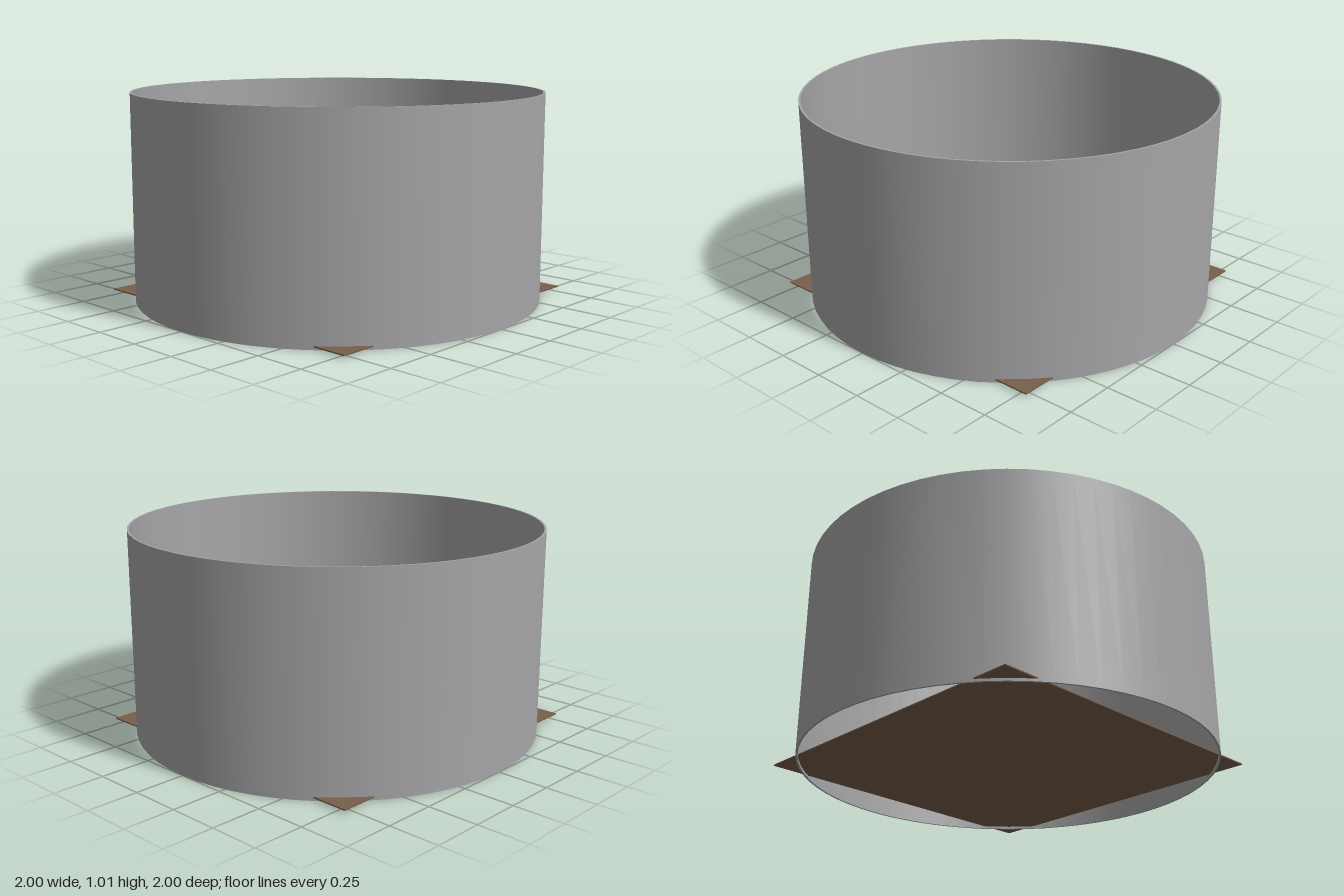
import * as THREE from 'three';

const mat = (name, color, side = THREE.FrontSide) => {
  const m = new THREE.MeshStandardMaterial({ color, side });
  m.name = name;
  return m;
};

export function createModel() {
  const root = new THREE.Group();
  root.name = 'drumKitRoom';
  const wallGrey = mat('wall grey', 0xa6a6a8);
  const wood = mat('wood brown', 0x785f4a);
  const rugGrey = mat('rug grey', 0xa4a4a4);
  const black = mat('dark metal', 0x2c2926);
  const bronze = mat('bronze', 0x7d6148);
  const skin = mat('drum skin', 0xb8b8b8);
  const steel = mat('steel', 0x8c8c8c);
  const G = 0.021; // top of the rug

  const add = (parent, name, geo, material, x = 0, y = 0, z = 0) => {
    const m = new THREE.Mesh(geo, material);
    m.name = name;
    m.position.set(x, y, z);
    parent.add(m);
    return m;
  };
  const group = (name) => {
    const g = new THREE.Group();
    g.name = name;
    root.add(g);
    return g;
  };
  // Round bar between two points
  const bar = (parent, name, a, b, r = 0.003, material = black) => {
    const A = new THREE.Vector3(...a), B = new THREE.Vector3(...b);
    const d = B.clone().sub(A);
    const m = add(parent, name, new THREE.CylinderGeometry(r, r, d.length(), 8), material);
    m.position.copy(A).add(B).multiplyScalar(0.5);
    m.quaternion.setFromUnitVectors(new THREE.Vector3(0, 1, 0), d.normalize());
    return m;
  };
  const tripod = (parent, x, z, reach, top, turn = 0) => {
    for (let i = 0; i < 3; i++) {
      const a = turn + i * Math.PI * 2 / 3;
      bar(parent, 'standLeg', [x, top, z], [x + Math.sin(a) * reach, G + 0.003, z + Math.cos(a) * reach], 0.0025);
    }
  };

  // Round wall: outer face, top rim, inner face, bottom rim
  const wall = group('roundWall');
  const ring = [[1, 0], [1, 1.01], [0.99, 1.01], [0.99, 0]];
  ring.forEach((p, i) => {
    const pts = [p, ring[(i + 1) % 4]].map(([x, y]) => new THREE.Vector2(x, y));
    add(wall, 'wallFace', new THREE.LatheGeometry(pts, 64), wallGrey);
  });

  // Floor and rug
  add(root, 'floor', new THREE.BoxGeometry(1.58, 0.006, 1.58), wood, 0, 0.015, -0.003);
  add(root, 'rug', new THREE.BoxGeometry(0.46, 0.003, 0.42), rugGrey, 0, G - 0.0015, 0.04);

  // Bass drum, lying along z, with a skin at each end and a pedal
  const bass = group('bassDrum');
  const shell = add(bass, 'bassShell', new THREE.CylinderGeometry(0.034, 0.034, 0.05, 32), black, 0, G + 0.036, -0.02);
  shell.rotation.x = Math.PI / 2;
  for (const s of [-1, 1]) {
    const head = add(bass, 'bassSkin', new THREE.CylinderGeometry(0.03, 0.03, 0.002, 32), skin, 0, G + 0.036, -0.02 + s * 0.026);
    head.rotation.x = Math.PI / 2;
    bar(bass, 'bassSpur', [s * 0.03, G + 0.03, -0.03], [s * 0.045, G + 0.002, -0.04]);
  }
  add(bass, 'bassPedal', new THREE.BoxGeometry(0.014, 0.004, 0.06), steel, 0, G + 0.006, 0.05);
  bar(bass, 'beater', [0, G + 0.008, 0.022], [0, G + 0.05, 0.012], 0.002, steel);

  // Upright drums: x, z, radius, bottom, height
  const drums = group('drums');
  for (const [name, x, z, r, y, h] of [
    ['leftTom', 0.032, -0.02, 0.02, 0.095, 0.026],
    ['rightTom', -0.032, -0.02, 0.02, 0.095, 0.026],
    ['snare', -0.065, 0.062, 0.027, 0.095, 0.018],
    ['floorTom', 0.09, 0.07, 0.024, 0.05, 0.055],
  ]) {
    add(drums, name, new THREE.CylinderGeometry(r, r, h, 28), black, x, y + h / 2, z);
    add(drums, name + 'Skin', new THREE.CylinderGeometry(r * 0.9, r * 0.9, 0.002, 28), skin, x, y + h + 0.0005, z);
    for (const t of [0, h]) {
      const hoop = add(drums, name + 'Hoop', new THREE.TorusGeometry(r, 0.0016, 6, 28), steel, x, y + t, z);
      hoop.rotation.x = Math.PI / 2;
    }
  }
  tripod(drums, -0.065, 0.062, 0.025, 0.095);
  for (let i = 0; i < 3; i++) {
    const a = i * Math.PI * 2 / 3;
    const x = 0.09 + Math.sin(a) * 0.025, z = 0.07 + Math.cos(a) * 0.025;
    bar(drums, 'floorTomLeg', [x, G, z], [x, 0.085, z], 0.002, steel);
  }
  add(drums, 'hiHatPedal', new THREE.BoxGeometry(0.014, 0.004, 0.05), steel, -0.083, G + 0.006, 0.105);

  // Rack of bars curving round the kit
  const rack = group('rack');
  const posts = [[-0.138, 0.08], [-0.075, -0.022], [0.075, -0.022], [0.138, 0.08]];
  posts.forEach(([x, z], i) => {
    bar(rack, 'rackPost', [x, G, z], [x, 0.125, z], 0.004);
    const foot = add(rack, 'rackFoot', new THREE.BoxGeometry(0.01, 0.006, 0.035), black, x, G + 0.003, z);
    foot.rotation.y = Math.sign(x) * 0.5;
    if (i < 3) bar(rack, 'rackRail', [x, 0.115, z], [posts[i + 1][0], 0.115, posts[i + 1][1]], 0.004);
  });
  for (const s of [-1, 1]) bar(rack, 'tomArm', [s * 0.015, 0.115, -0.022], [s * 0.03, 0.108, -0.02], 0.003, steel);

  // Cymbals: x, z, radius, height, and the rack point that carries them
  const cymbals = group('cymbals');
  for (const [x, z, r, y, px, pz] of [
    [-0.008, -0.062, 0.031, 0.19, -0.008, -0.022],
    [0.057, -0.062, 0.026, 0.18, 0.057, -0.022],
    [0.107, -0.015, 0.032, 0.17, 0.09, 0.002],
    [-0.115, -0.01, 0.026, 0.175, -0.09, 0.002],
  ]) {
    const profile = [[r, 0], [r * 0.3, 0.003], [r * 0.22, 0.006], [0, 0.008]].map(([a, b]) => new THREE.Vector2(a, b));
    for (const [name, pts] of [['cymbal', profile], ['cymbalUnderside', profile.slice().reverse()]]) {
      add(cymbals, name, new THREE.LatheGeometry(pts, 32), bronze, x, y, z);
    }
    add(cymbals, 'cymbalNut', new THREE.CylinderGeometry(0.003, 0.003, 0.008, 10), black, x, y + 0.011, z);
    bar(cymbals, 'cymbalPole', [px, 0.11, pz], [px, y - 0.025, pz], 0.0025);
    bar(cymbals, 'cymbalBoom', [px, y - 0.025, pz], [x, y + 0.006, z], 0.0025);
  }

  // Round seat on a tripod
  const stool = group('stool');
  add(stool, 'seat', new THREE.CylinderGeometry(0.035, 0.035, 0.016, 32), bronze, 0, 0.096, 0.163);
  bar(stool, 'seatPost', [0, 0.04, 0.163], [0, 0.09, 0.163], 0.004);
  tripod(stool, 0, 0.163, 0.05, 0.06, Math.PI / 3);

  return root;
}
